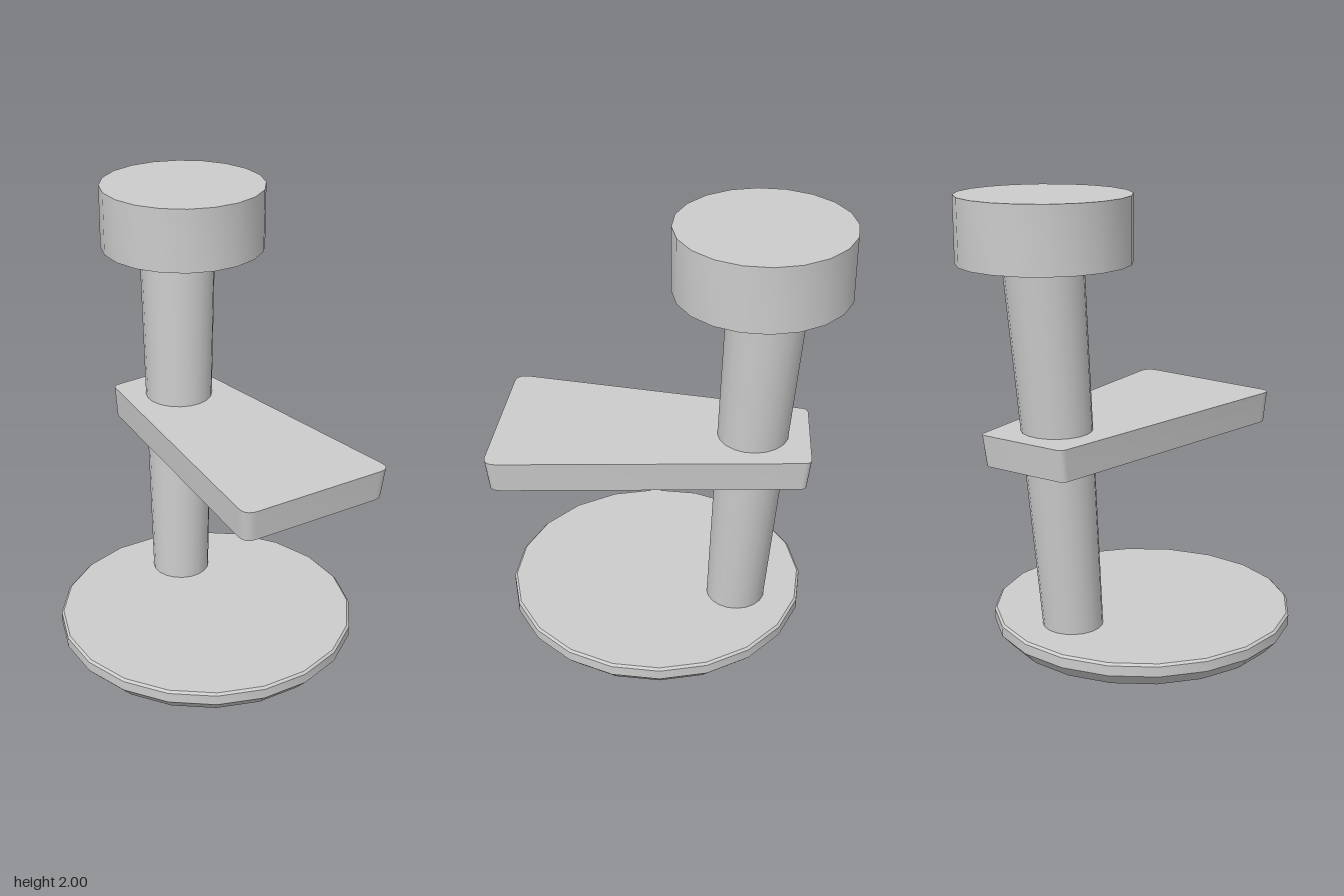
import * as THREE from 'three';
import { toCreasedNormals } from 'three/addons/utils/BufferGeometryUtils.js';

const SIDES = 20;

// Polygon with each corner rounded by its own radius; corners are [x, z, radius]
function roundedPolygon(corners) {
  const shape = new THREE.Shape();
  corners.forEach(([x, z, r], i) => {
    const n = corners.length;
    const p = new THREE.Vector2(x, z);
    const toward = ([cx, cz]) => new THREE.Vector2(cx, cz).sub(p).setLength(r).add(p);
    const a = toward(corners[(i + n - 1) % n]);
    const b = toward(corners[(i + 1) % n]);
    if (i === 0) shape.moveTo(a.x, a.y);
    else shape.lineTo(a.x, a.y);
    shape.quadraticCurveTo(x, z, b.x, b.y);
  });
  shape.closePath();
  return shape;
}

// Solid of revolution with sharp rims and smooth sides
function turned(profile) {
  const points = profile.map(([r, y]) => new THREE.Vector2(r, y));
  return toCreasedNormals(new THREE.LatheGeometry(points, SIDES), 0.5);
}

export function createModel() {
  const model = new THREE.Group();
  model.name = 'perchStand';
  const material = new THREE.MeshStandardMaterial({ color: 0xcccccc });
  const add = (name, geometry, x = 0, y = 0, z = 0) => {
    const mesh = new THREE.Mesh(geometry, material);
    mesh.name = name;
    mesh.position.set(x, y, z);
    model.add(mesh);
  };

  // Round foot, chamfered underneath with a fine top bevel
  add('base', turned([[0, 0], [0.617, 0], [0.672, 0.06], [0.672, 0.105], [0.662, 0.115], [0, 0.115]]), 0.03, 0, 0);

  // Post: widens upward and leans back and to the side
  const y0 = 0.1, y1 = 1.74;
  const post = new THREE.CylinderGeometry(0.17, 0.132, y1 - y0, SIDES, 1);
  post.translate(0, (y1 - y0) / 2, 0);
  post.applyMatrix4(new THREE.Matrix4().set(
    1, -0.056, 0, 0,
    0, 1, 0, 0,
    0, -0.04, 1, 0,
    0, 0, 0, 1));
  add('post', toCreasedNormals(post, 0.6), -0.33, y0, -0.142);

  // Shelf: tapered plan, lower face slightly smaller than the top
  const thickness = 0.14, cx = 0.06, cz = -0.04;
  const outline = roundedPolygon([
    [-0.638, 0.012, 0.03],
    [0.664, 0.333, 0.06],
    [0.763, -0.395, 0.06],
    [-0.61, -0.413, 0.03],
  ]);
  const shelf = new THREE.ExtrudeGeometry(outline, { depth: thickness, bevelEnabled: false, curveSegments: 5 });
  shelf.rotateX(Math.PI / 2);
  const pos = shelf.attributes.position;
  for (let i = 0; i < pos.count; i++) {
    if (pos.getY(i) > -thickness / 2) continue;
    pos.setX(i, cx + (pos.getX(i) - cx) * 0.978);
    pos.setZ(i, cz + (pos.getZ(i) - cz) * 0.97);
  }
  add('shelf', toCreasedNormals(shelf, 0.6), 0, 1.01, 0);

  // Drum-shaped head on top of the post
  add('head', turned([[0, 1.72], [0.367, 1.72], [0.367, 2], [0, 2]]), -0.393, 0, -0.218);

  return model;
}
